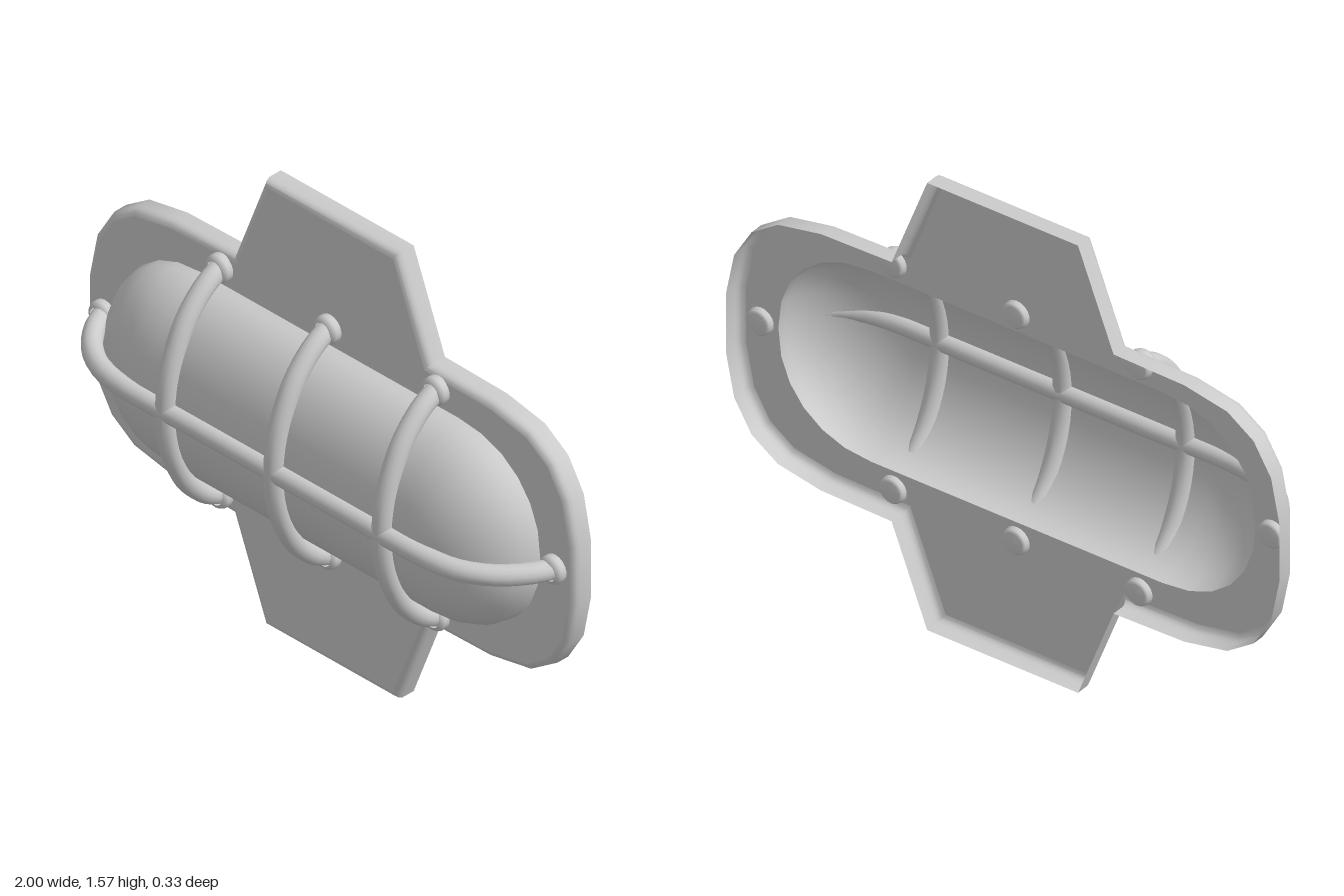
import * as THREE from 'three';
import { toCreasedNormals } from 'three/addons/utils/BufferGeometryUtils.js';

const CY = 0.785;        // height of the lamp's centre line
const FACE = -0.095;     // front face of the back plate
const BACK = -0.165;     // open back of the plate

const material = new THREE.MeshStandardMaterial({ color: 0xcccccc, side: THREE.DoubleSide });

function add(parent, name, geometry) {
  const mesh = new THREE.Mesh(geometry, material);
  mesh.name = name;
  parent.add(mesh);
  return mesh;
}

// Skin between closed loops, each counter-clockwise and stacked toward +z
function loft(loops, crease) {
  const n = loops[0].length, index = [];
  for (let k = 0; k < loops.length - 1; k++) {
    for (let i = 0; i < n; i++) {
      const a = k * n + i, b = k * n + (i + 1) % n;
      index.push(a, b, b + n, a, b + n, a + n);
    }
  }
  const g = new THREE.BufferGeometry();
  g.setAttribute('position', new THREE.Float32BufferAttribute(loops.flat(2), 3));
  g.setIndex(index);
  return toCreasedNormals(g, crease);
}

// Move a counter-clockwise outline inward by d with mitred corners
function inset(pts, d) {
  const n = pts.length;
  return pts.map((p, i) => {
    const e1 = p.clone().sub(pts[(i + n - 1) % n]).normalize();
    const e2 = pts[(i + 1) % n].clone().sub(p).normalize();
    const n1 = new THREE.Vector2(-e1.y, e1.x), n2 = new THREE.Vector2(-e2.y, e2.x);
    const m = n1.clone().add(n2);
    return p.clone().addScaledVector(m, d / (1 + n1.dot(n2)));
  });
}

// Plate outline: one quarter mirrored into four
function plateOutline() {
  const q = [[0.998, 0.10], [0.968, 0.25], [0.905, 0.355], [0.81, 0.42],
    [0.655, 0.45], [0.40, 0.455], [0.272, 0.785]];
  const r = [...q].reverse();
  return [
    ...q,
    ...r.map(([x, y]) => [-x, y]),
    ...q.map(([x, y]) => [-x, -y]),
    ...r.map(([x, y]) => [x, -y]),
  ].map(([x, y]) => new THREE.Vector2(x, y));
}

// Stadium ring of the dome at end radius r
function domeRing(r) {
  const pts = [], steps = 12;
  const soft = v => Math.sign(v) * Math.pow(Math.abs(v), 0.92);
  for (const side of [1, -1]) {
    for (let i = 0; i <= steps; i++) {
      const t = Math.PI * (i / steps - 0.5);
      pts.push(new THREE.Vector2(side * (0.525 + r * soft(Math.cos(t))), side * r * soft(Math.sin(t))));
    }
  }
  return pts;
}

// Cage bar: half profile of [distance from centre, z], mirrored to the other side
function barGeometry(half, alongX) {
  const full = [...half, ...[...half].reverse().map(([u, z]) => [-u, z])];
  const pts = full.map(([u, z]) => (alongX ? new THREE.Vector3(u, 0, z) : new THREE.Vector3(0, u, z)));
  return new THREE.TubeGeometry(new THREE.CatmullRomCurve3(pts, false, 'centripetal'), 56, 0.033, 14, false);
}

export function createModel() {
  const model = new THREE.Group();
  model.name = 'bulkheadLamp';
  const body = new THREE.Group();
  body.name = 'lampBody';
  body.position.y = CY;
  model.add(body);

  // Back plate: rounded rim and a face with an opening under the dome
  const outline = plateOutline();
  const at = (pts, z) => pts.map(p => [p.x, p.y, z]);
  const rim = [[0, BACK], [0, -0.12], [0.003, -0.108], [0.010, -0.099], [0.022, FACE]];
  add(body, 'plateRim', loft(rim.map(([d, z]) => at(inset(outline, d), z)), 0.7));

  const face = new THREE.Shape(inset(outline, 0.022));
  face.holes.push(new THREE.Path(domeRing(0.335)));
  add(body, 'plateFace', new THREE.ShapeGeometry(face)).position.z = FACE;

  // Hollow glass dome
  const rings = [];
  for (let k = 0; k <= 12; k++) {
    const a = (k / 12) * Math.PI / 2;
    rings.push(at(domeRing(k === 12 ? 0.0005 : 0.335 * Math.cos(a)), FACE + 0.225 * Math.sin(a)));
  }
  add(body, 'glassDome', loft(rings, 1));

  // Guard cage
  const cage = new THREE.Group();
  cage.name = 'guardCage';
  body.add(cage);
  const upright = barGeometry([[0.397, -0.1], [0.385, -0.06], [0.352, -0.01], [0.275, 0.058],
    [0.17, 0.107], [0.06, 0.131]], false);
  const cross = barGeometry([[0.922, -0.1], [0.91, -0.06], [0.882, -0.01], [0.82, 0.06],
    [0.735, 0.111], [0.63, 0.132], [0.3, 0.132]], true);

  // Round foot passing through the plate
  const foot = new THREE.LatheGeometry([[0, -0.022], [0.034, -0.022], [0.042, -0.015], [0.046, 0],
    [0.046, 0.018], [0.041, 0.028], [0.03, 0.032]].map(([r, y]) => new THREE.Vector2(r, y)), 18);
  foot.rotateX(Math.PI / 2);
  const addFoot = (x, y) => add(cage, 'barFoot', foot).position.set(x, y, FACE);

  for (const x of [-0.443, 0, 0.443]) {
    add(cage, 'uprightBar', upright).position.x = x;
    addFoot(x, 0.397);
    addFoot(x, -0.397);
  }
  add(cage, 'crossBar', cross);
  addFoot(0.922, 0);
  addFoot(-0.922, 0);

  return model;
}
